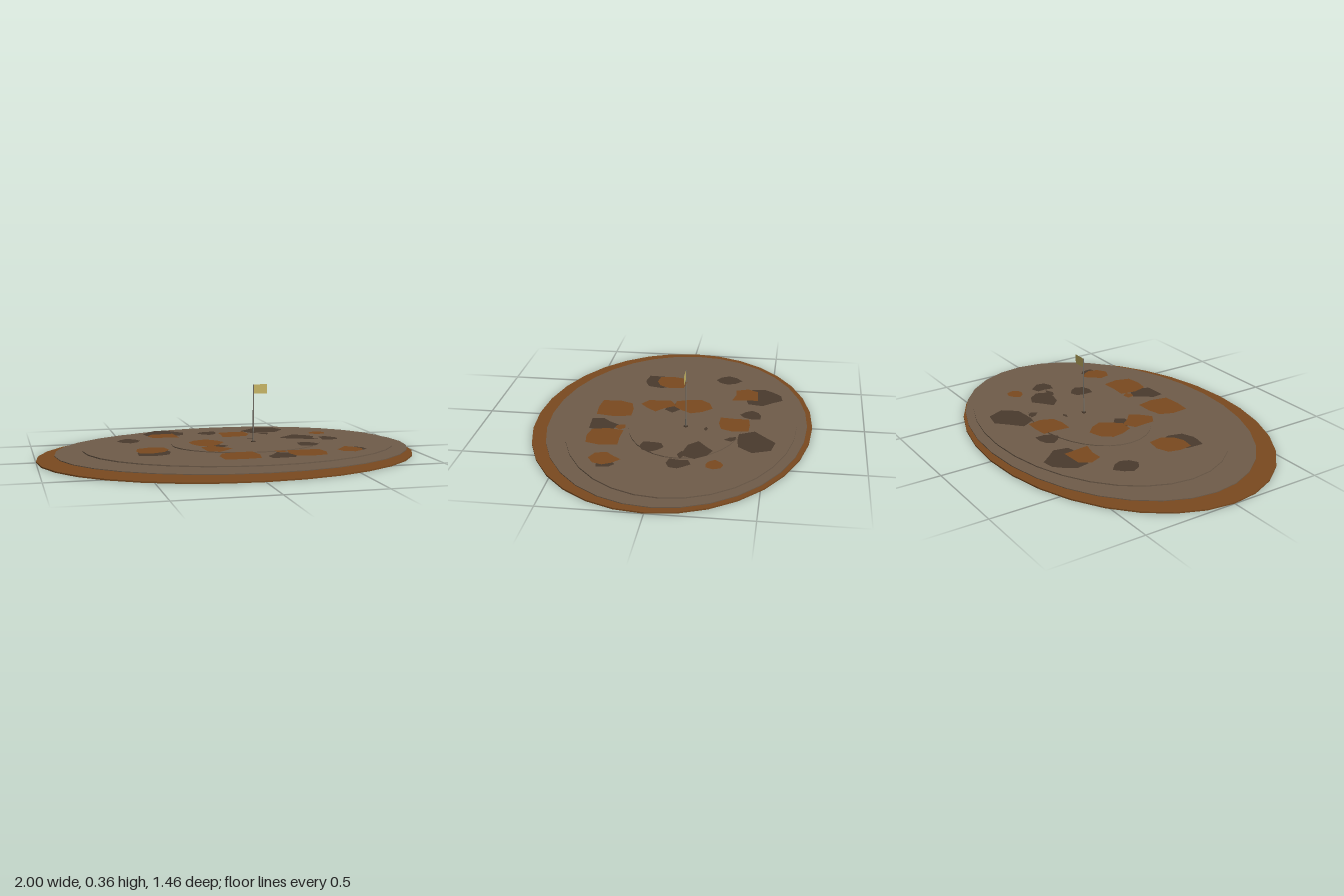
import * as THREE from 'three';

export function createModel() {
  const model = new THREE.Group();
  const material = (name, color, side = THREE.FrontSide) => {
    const m = new THREE.MeshStandardMaterial({ color, side });
    m.name = name;
    return m;
  };
  const rust = material('rust brown', 0x7a4a1f, THREE.DoubleSide);
  const earth = material('grey earth', 0x6f5c4a, THREE.DoubleSide);
  const dark = material('dark soil', 0x493a2d, THREE.DoubleSide);
  const poleGrey = material('pole grey', 0x77736a);
  const cloth = material('straw cloth', 0xcbb968, THREE.DoubleSide);

  const add = (name, geometry, mat, x, y, z) => {
    const mesh = new THREE.Mesh(geometry, mat);
    mesh.name = name;
    mesh.position.set(x, y, z);
    model.add(mesh);
    return mesh;
  };

  // Thin stacked elliptical terraces, given by their top height
  const terrace = (name, mat, x, z, rx, rz, top, thick) => {
    const g = new THREE.CylinderGeometry(1, 1, thick, 32).toNonIndexed();
    g.scale(rx, 1, rz);
    g.computeVertexNormals();
    add(name, g, mat, x, top - thick / 2, z);
  };
  terrace('baseDisc', rust, 0, 0, 1, 0.73, 0.007, 0.007);
  terrace('lowerTerrace', earth, 0.04, -0.028, 0.945, 0.675, 0.027, 0.004);
  terrace('middleTerrace', earth, 0.08, -0.055, 0.84, 0.595, 0.042, 0.006);
  terrace('innerTerrace', earth, 0.12, -0.08, 0.405, 0.295, 0.047, 0.005);

  // Jagged flat patch: radii run around from +x towards +z
  const patch = (name, mat, x, z, y, radii) => {
    const points = radii.map((r, i) => {
      const a = (i / radii.length) * Math.PI * 2;
      return new THREE.Vector2(r * Math.cos(a), -r * Math.sin(a));
    });
    const g = new THREE.ShapeGeometry(new THREE.Shape(points));
    g.rotateX(-Math.PI / 2);
    add(name, g, mat, x, y, z);
  };
  const soil = (x, z, ...radii) => patch('soilPatch', dark, x, z, 0.049, radii);
  const rusty = (x, z, ...radii) => patch('rustPatch', rust, x, z, 0.0505, radii);

  // Dark patches around the ring
  soil(-0.27, -0.46, 0.12, 0.13, 0.1, 0.09, 0.12, 0.11, 0.09, 0.1, 0.11, 0.09);
  soil(-0.02, -0.41, 0.05, 0.05, 0.06, 0.05, 0.06, 0.05, 0.05, 0.07);
  soil(0.3, -0.44, 0.13, 0.1, 0.08, 0.11, 0.12, 0.08, 0.11, 0.13);
  soil(-0.49, -0.25, 0.06, 0.06, 0.07, 0.06, 0.065, 0.06, 0.08, 0.06);
  soil(0.43, -0.17, 0.1, 0.1, 0.06, 0.07, 0.1, 0.06, 0.08, 0.08);
  soil(0.59, -0.1, 0.05, 0.06, 0.06, 0.07, 0.04, 0.06, 0.06, 0.04);
  soil(0.42, 0.055, 0.06, 0.06, 0.06, 0.07, 0.05, 0.06, 0.06, 0.05);
  soil(-0.42, 0.12, 0.09, 0.1, 0.1, 0.12, 0.08, 0.09, 0.1, 0.1);
  soil(0.19, 0.35, 0.08, 0.08, 0.06, 0.09, 0.07, 0.05, 0.09, 0.09);
  soil(0.635, 0.25, 0.035, 0.05, 0.04, 0.05, 0.04, 0.04, 0.05, 0.04);

  // Small dark crumbs
  soil(0.285, -0.33, 0.03, 0.04, 0.02, 0.035, 0.02);
  soil(0.18, -0.19, 0.025, 0.012, 0.025, 0.01);
  soil(0.49, -0.1, 0.05, 0.02, 0.04, 0.02);
  soil(-0.06, 0.01, 0.06, 0.05, 0.04, 0.06, 0.05, 0.04);

  // Rust patches lying over the dark ones
  rusty(-0.28, -0.37, 0.07, 0.11, 0.06, 0.09, 0.09, 0.08, 0.06, 0.09);
  rusty(0.11, -0.33, 0.09, 0.09, 0.08, 0.11, 0.07, 0.1, 0.08, 0.11);
  rusty(0.58, -0.27, 0.05, 0.05, 0.04, 0.04, 0.05, 0.04, 0.045, 0.05);
  rusty(-0.095, -0.09, 0.095, 0.08, 0.1, 0.11, 0.09, 0.1, 0.1, 0.11, 0.09);
  rusty(-0.09, 0.1, 0.09, 0.07, 0.09, 0.08, 0.06, 0.09, 0.1, 0.06);
  rusty(-0.42, 0.07, 0.09, 0.08, 0.08, 0.1, 0.08, 0.09, 0.09, 0.11);
  rusty(-0.02, 0.31, 0.11, 0.13, 0.1, 0.13, 0.1, 0.1, 0.09, 0.13);
  rusty(0.34, 0.31, 0.1, 0.11, 0.09, 0.11, 0.1, 0.12, 0.08, 0.12);
  rusty(0.585, 0.26, 0.065, 0.07, 0.08, 0.08, 0.07, 0.05, 0.08, 0.06);
  rusty(0.22, 0.25, 0.03, 0.025, 0.03, 0.04, 0.03);

  // Earth-coloured star patch
  patch('earthPatch', earth, -0.32, 0.28, 0.0495,
    [0.08, 0.16, 0.1, 0.14, 0.12, 0.1, 0.1, 0.13, 0.07, 0.16, 0.09, 0.13]);

  // Flag pole, foot and flag
  add('poleFoot', new THREE.CylinderGeometry(0.012, 0.012, 0.004, 8), dark, 0.16, 0.049, -0.083);
  add('flagPole', new THREE.CylinderGeometry(0.003, 0.003, 0.31, 6), poleGrey, 0.16, 0.203, -0.083);
  add('flag', new THREE.PlaneGeometry(0.075, 0.05), cloth, 0.1985, 0.333, -0.083);

  return model;
}
